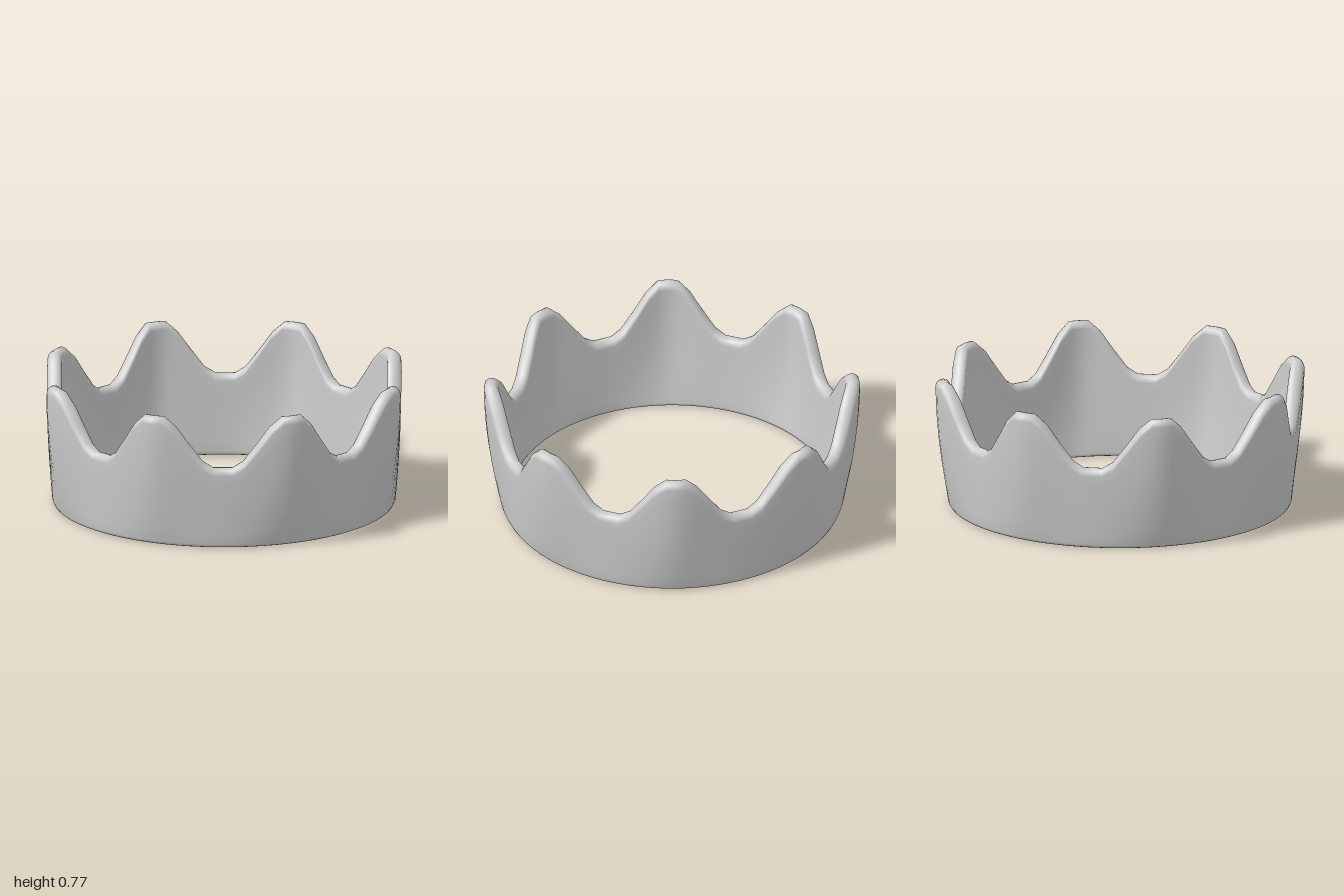
import * as THREE from 'three';

const RAD = Math.PI / 180;
const POINTS = 8;
const TOP = 0.77;

// Rim height over half a point: [degrees from valley, height]
const HALF = [[0, 0.47], [3.3, 0.47], [6.9, 0.507], [11.3, 0.605], [15.6, 0.71], [19.4, 0.77], [22.5, 0.77]];
// Mirrored to one full valley-to-valley point
const POINT = [...HALF, ...HALF.slice(1, -1).reverse().map(([a, h]) => [45 - a, h])];

// Radius of a rounded octagon, measured by angle from the middle of a side
function octagon(deg, apothem, fillet) {
  const a = Math.min(deg, 45 - deg);
  if (a < 16.7) return apothem / Math.cos(a * RAD);
  const b = (22.5 - a) * RAD;
  const d = (apothem - fillet) / Math.cos(22.5 * RAD);
  return d * Math.cos(b) + Math.sqrt(fillet ** 2 - (d * Math.sin(b)) ** 2);
}

// The wall is round at the base and flares into the octagon above
function wallRadius(base, oct, y) {
  const w = 1 - (1 - Math.min(y / TOP, 1)) ** 2;
  return base + (oct - base) * w;
}

// Closed section of the wall as [radius, y]: up outside, over the rim, down inside, under the base
function section(deg, h) {
  const outer = y => wallRadius(0.965, octagon(deg, 1.0, 0.276), y);
  const inner = y => wallRadius(0.895, octagon(deg, 0.918, 0.194), y);
  const lip = 0.04, foot = 0.022, steps = 8, arc = 8;
  const pts = [];
  const wall = i => foot + (h - lip - foot) * i / steps;
  for (let i = 0; i <= steps; i++) pts.push([outer(wall(i)), wall(i)]);
  const y = h - lip, mid = (outer(y) + inner(y)) / 2, half = (outer(y) - inner(y)) / 2;
  for (let i = 1; i < arc; i++) {
    const t = Math.PI * i / arc;
    pts.push([mid + half * Math.cos(t), y + lip * Math.sin(t)]);
  }
  for (let i = steps; i >= 0; i--) pts.push([inner(wall(i)), wall(i)]);
  pts.push([0.9, 0.006], [0.914, 0], [0.946, 0], [0.96, 0.006]);
  return pts;
}

export function createModel() {
  const group = new THREE.Group();
  group.name = 'crown';

  // Sweep the section around the ring
  const positions = [], index = [];
  const rings = POINTS * POINT.length;
  let n = 0;
  for (let p = 0; p < POINTS; p++) {
    for (const [deg, h] of POINT) {
      const angle = (p * 45 + deg) * RAD;
      const pts = section(deg, h);
      n = pts.length;
      for (const [r, y] of pts) positions.push(r * Math.sin(angle), y, r * Math.cos(angle));
    }
  }
  for (let i = 0; i < rings; i++) {
    const a = i * n, b = ((i + 1) % rings) * n;
    for (let j = 0; j < n; j++) {
      const k = (j + 1) % n;
      index.push(a + j, b + j, b + k, a + j, b + k, a + k);
    }
  }
  const geometry = new THREE.BufferGeometry();
  geometry.setAttribute('position', new THREE.Float32BufferAttribute(positions, 3));
  geometry.setIndex(index);
  geometry.computeVertexNormals();

  const band = new THREE.Mesh(geometry, new THREE.MeshStandardMaterial({ color: 0xcccccc }));
  band.name = 'crownBand';
  group.add(band);
  return group;
}
